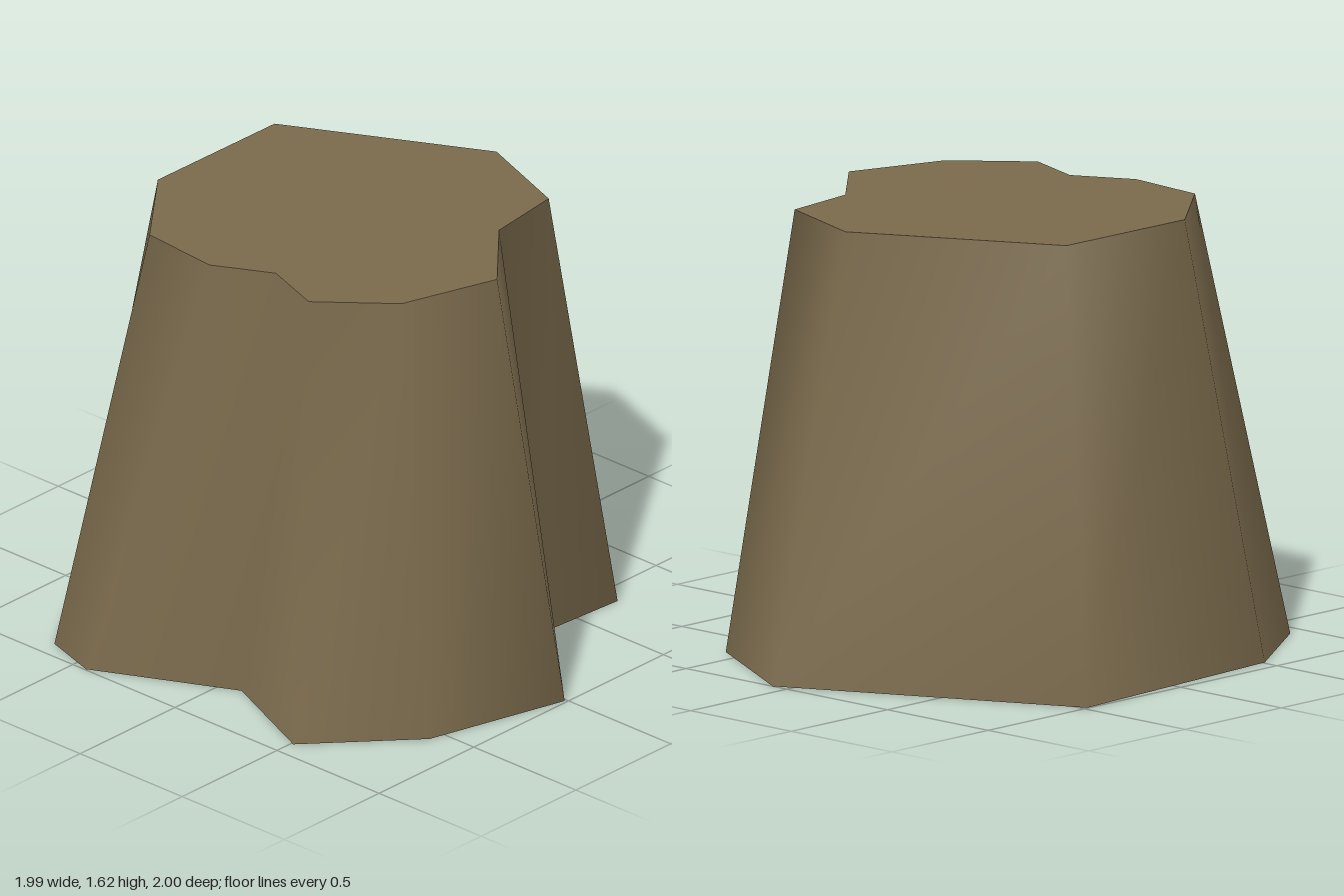
import * as THREE from 'three';

// Matching bottom and top outlines as [x, z], clockwise seen from above
const HEIGHT = 1.625;
const BOTTOM = [
  [0.07, -1], [0.59, -0.7], [0.565, -0.355], [0.99, 0.01], [0.84, 0.56], [0.51, 0.925],
  [0.085, 0.74], [-0.44, 0.995], [-0.66, 0.925], [-0.93, 0.51], [-0.995, -0.48],
];
const TOP = [
  [0.025, -0.67], [0.415, -0.525], [0.455, -0.22], [0.715, 0.07], [0.595, 0.445], [0.34, 0.66],
  [0.1, 0.575], [-0.12, 0.69], [-0.44, 0.66], [-0.715, 0.32], [-0.71, -0.29],
];

// Smooth wall joining two outlines, open at both ends
function loftWall(bottom, top, height) {
  const n = bottom.length;
  const positions = [];
  const index = [];
  for (const [x, z] of bottom) positions.push(x, 0, z);
  for (const [x, z] of top) positions.push(x, height, z);
  for (let i = 0; i < n; i++) {
    const j = (i + 1) % n;
    index.push(j, i, n + i, j, n + i, n + j);
  }
  const geometry = new THREE.BufferGeometry();
  geometry.setAttribute('position', new THREE.Float32BufferAttribute(positions, 3));
  geometry.setIndex(index);
  geometry.computeVertexNormals();
  return geometry;
}

export function createModel() {
  const group = new THREE.Group();
  group.name = 'rockStump';

  const brown = new THREE.MeshStandardMaterial({ color: 0x7a6a4c, side: THREE.DoubleSide });
  brown.name = 'earthBrown';

  // Tapering side wall, open underneath
  const wall = new THREE.Mesh(loftWall(BOTTOM, TOP, HEIGHT), brown);
  wall.name = 'sideWall';
  group.add(wall);

  // Flat top with a sharp rim
  const outline = new THREE.Shape(TOP.map(([x, z]) => new THREE.Vector2(x, -z)));
  const cap = new THREE.Mesh(new THREE.ShapeGeometry(outline).rotateX(-Math.PI / 2), brown);
  cap.name = 'flatTop';
  cap.position.y = HEIGHT;
  group.add(cap);

  return group;
}
